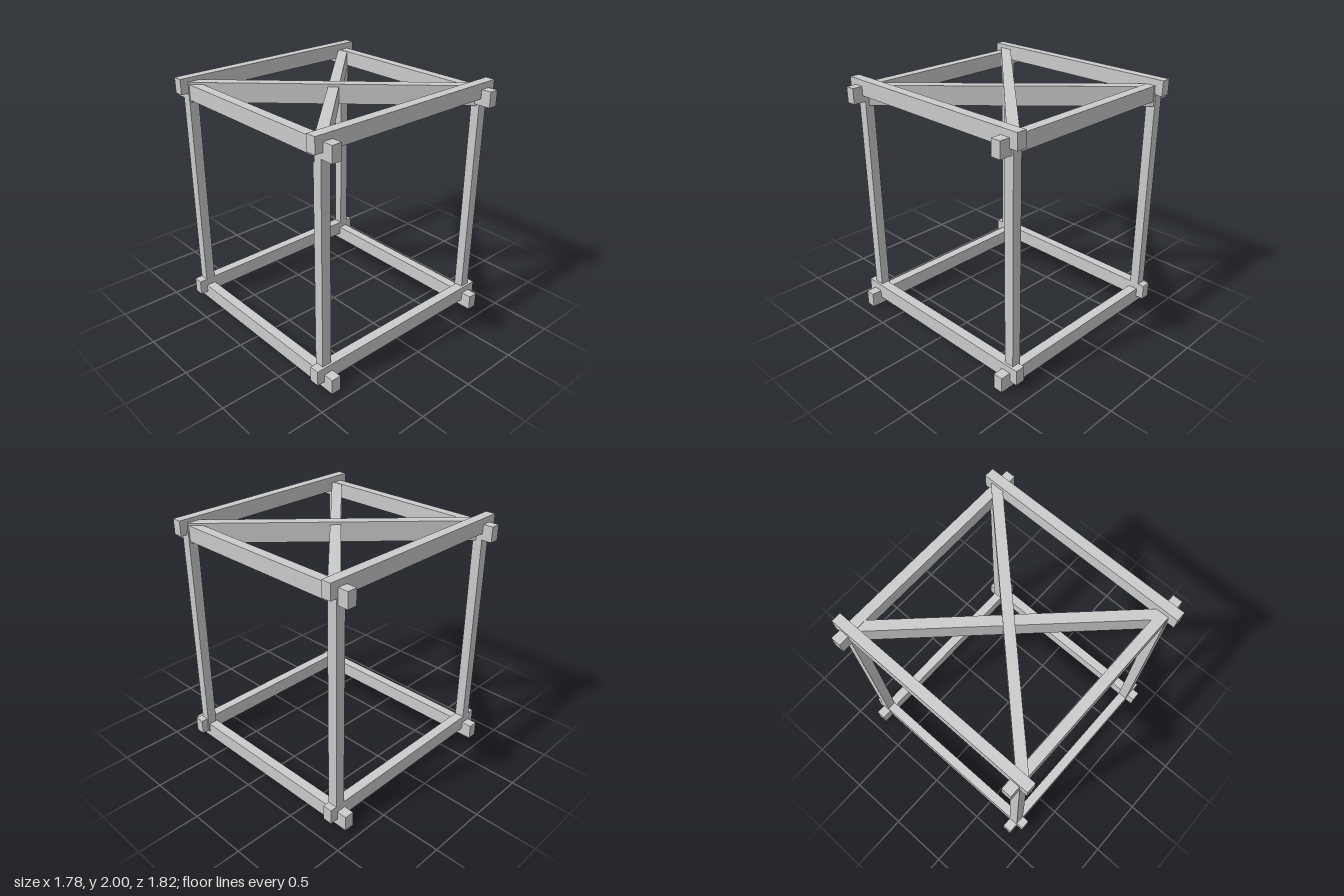
import * as THREE from 'three';

export function createModel() {
  const model = new THREE.Group();
  const material = new THREE.MeshStandardMaterial({ color: 0xcccccc, flatShading: true });

  function beam(name, size, position, turn = 0) {
    const mesh = new THREE.Mesh(new THREE.BoxGeometry(...size), material);
    mesh.name = name;
    mesh.position.set(...position);
    mesh.rotation.y = turn;
    model.add(mesh);
  }

  for (const s of [1, -1]) {
    const end = s > 0 ? 'front' : 'back';
    const side = s > 0 ? 'left' : 'right';

    // Cross rails along x, resting above the side rails
    beam(`${end}BottomRail`, [1.78, 0.125, 0.08], [0, 0.123, s * 0.785]);
    beam(`${end}TopRail`, [1.78, 0.123, 0.08], [0, 1.9385, s * 0.787]);

    // Side rails along z
    beam(`${side}BottomRail`, [0.08, 0.125, 1.82], [s * 0.785, s > 0 ? 0.07 : 0.0625, 0]);
    beam(`${side}TopRail`, [0.08, 0.125, 1.82], [s * 0.783, 1.8875, 0]);

    // Upright posts, lapped into the rails at the corners
    const x = s > 0 ? 0.795 : -0.785;
    beam(`${side}FrontPost`, [0.08, 1.85, 0.076], [x, 0.985, 0.768]);
    beam(`${side}BackPost`, [0.08, 1.85, 0.08], [x, 0.985, -0.785]);
  }

  // Crossed diagonal braces between the top corners, one slightly higher
  const angle = Math.atan2(0.77, 0.8);
  beam('upperBrace', [2.22, 0.157, 0.083], [0, 1.8885, 0], -angle);
  beam('lowerBrace', [2.22, 0.157, 0.083], [0, 1.8675, 0], angle);

  return model;
}
